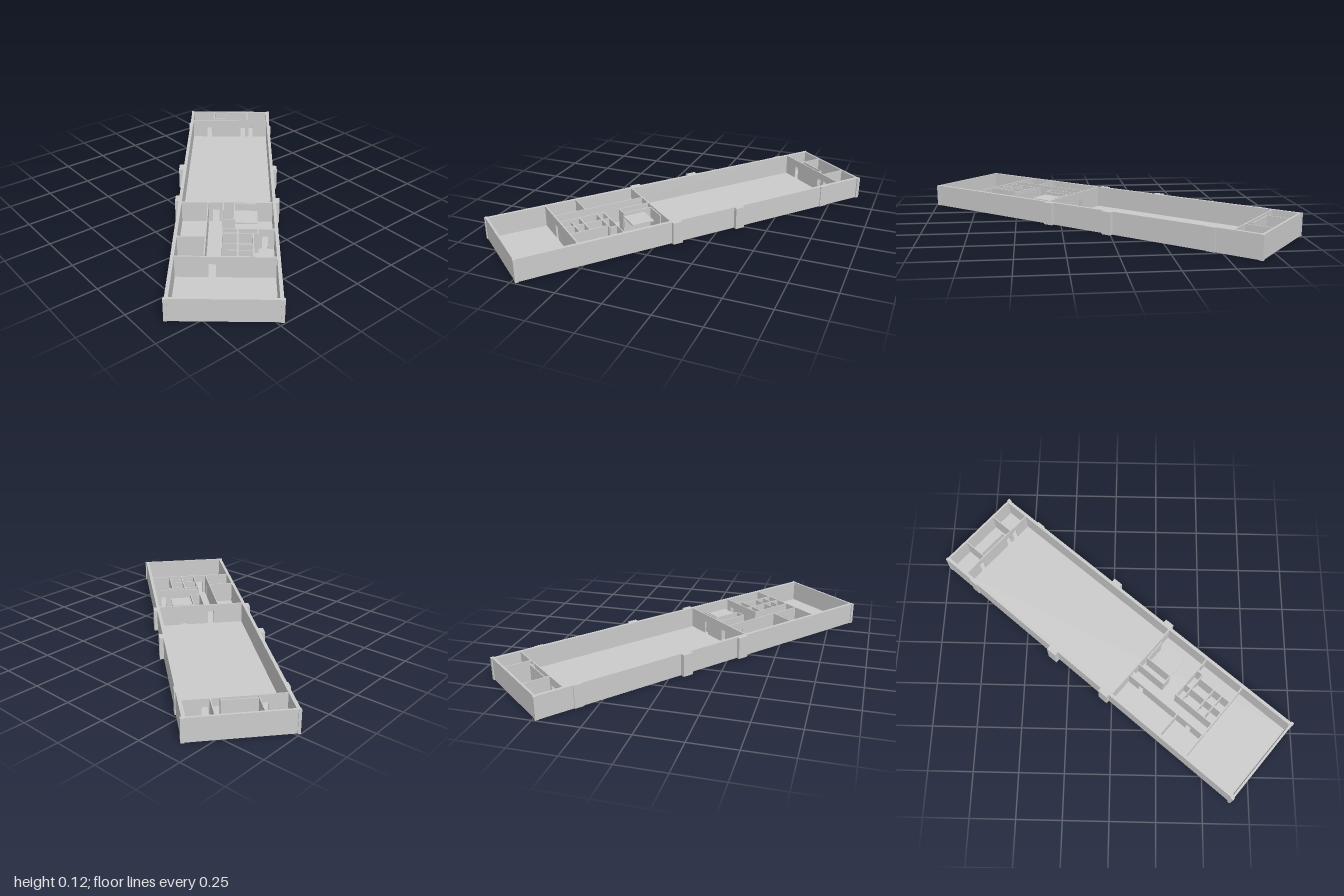
import * as THREE from 'three';

const H = 0.125;      // wall height
const FLOOR = 0.006;  // floor slab thickness
const DOOR = 0.082;   // door head height
const material = new THREE.MeshStandardMaterial({ color: 0xcccccc, flatShading: true });

export function createModel() {
  const model = new THREE.Group();
  model.name = 'building';
  // plan coordinates: u runs along the length, v across the width (local -z)
  const plan = new THREE.Group();
  plan.name = 'floorPlan';
  plan.rotation.y = -0.692;
  model.add(plan);

  function block(name, u0, u1, v0, v1, y0 = 0, y1 = H) {
    const mesh = new THREE.Mesh(new THREE.BoxGeometry(u1 - u0, y1 - y0, v1 - v0), material);
    mesh.name = name;
    mesh.position.set((u0 + u1) / 2, (y0 + y1) / 2, -(v0 + v1) / 2);
    plan.add(mesh);
  }

  // upright wall panel from a to b with door notches [centre, width]
  function wallGeometry(a, b, thickness, doors) {
    const s = new THREE.Shape();
    s.moveTo(a, FLOOR);
    for (const [c, w] of doors) {
      s.lineTo(c - w / 2, FLOOR);
      s.lineTo(c - w / 2, DOOR);
      s.lineTo(c + w / 2, DOOR);
      s.lineTo(c + w / 2, FLOOR);
    }
    s.lineTo(b, FLOOR);
    s.lineTo(b, H);
    s.lineTo(a, H);
    const g = new THREE.ExtrudeGeometry(s, { depth: thickness, bevelEnabled: false });
    return g.translate(0, 0, -thickness / 2);
  }

  // wall along the length, at a fixed v
  function longWall(name, v, u0, u1, doors = [], t = 0.006) {
    const mesh = new THREE.Mesh(wallGeometry(u0, u1, t, doors), material);
    mesh.name = name;
    mesh.position.z = -v;
    plan.add(mesh);
  }

  // wall across the width, at a fixed u
  function crossWall(name, u, v0, v1, doors = [], t = 0.006) {
    const mesh = new THREE.Mesh(wallGeometry(v0, v1, t, doors), material);
    mesh.name = name;
    mesh.rotation.y = Math.PI / 2;
    mesh.position.x = u;
    plan.add(mesh);
  }

  // floor and outer shell
  block('floor', -1.066, 1.06, -0.264, 0.264, 0, FLOOR);
  for (const s of [-1, 1]) {
    const [lo, hi] = s < 0 ? [-0.266, -0.248] : [0.248, 0.266];
    block('outerLongWall', -1.07, 1.064, lo, hi);
  }
  block('outerEndWall', -1.07, -1.058, -0.249, 0.249);
  block('outerEndWall', 1.052, 1.064, -0.249, 0.249);

  // buttresses and shallow pilasters along the long walls
  for (const [u0, u1, side, out] of [
    [-0.24, -0.18, -1, 0.292], [0.14, 0.2, -1, 0.286],
    [-0.235, -0.18, 1, 0.288], [0.155, 0.21, 1, 0.286],
    [-0.87, -0.818, -1, 0.272], [-0.83, -0.78, 1, 0.272],
    [-1.075, -1.055, 1, 0.273], [-1.075, -1.055, -1, 0.269],
    [1.05, 1.068, 1, 0.272], [1.05, 1.068, -1, 0.272],
  ]) {
    const [v0, v1] = side < 0 ? [-out, -0.255] : [0.255, out];
    block('buttress', u0, u1, v0, v1);
  }

  // rooms at the far end of the hall
  crossWall('hallEndWall', -0.915, -0.25, 0.25, [[-0.14, 0.03], [0.088, 0.03], [0.142, 0.03]]);
  longWall('endRoomWall', 0.118, -1.06, -0.915);
  longWall('endRoomWall', -0.107, -1.06, -0.915);
  crossWall('liningWall', -0.94, -0.107, 0.071, [], 0.005);
  longWall('liningReturn', 0.071, -0.94, -0.915, [], 0.005);

  // main cross partitions
  crossWall('hallPartition', 0.208, -0.25, 0.25, [[-0.06, 0.035], [0.103, 0.03]], 0.008);
  crossWall('endHallPartition', 0.731, -0.25, 0.25, [[-0.064, 0.036]], 0.008);

  // side rooms and corridor
  longWall('corridorWall', -0.103, 0.21, 0.73, [[0.3, 0.03], [0.64, 0.03]]);
  crossWall('sideRoomWall', 0.553, -0.25, -0.103);

  // raised platform with its enclosing walls
  longWall('stairRoomWall', -0.02, 0.21, 0.387);
  crossWall('stairRoomWall', 0.387, -0.02, 0.04);
  longWall('stairWall', 0.04, 0.222, 0.387);
  crossWall('stairWall', 0.225, 0.04, 0.163);
  block('platform', 0.265, 0.389, 0.04, 0.163, 0.098, 0.106);

  // small service rooms
  crossWall('serviceWall', 0.479, -0.022, 0.25, [[0.2, 0.03]]);
  crossWall('serviceWall', 0.52, -0.022, 0.163, [[0.02, 0.025], [0.1, 0.025]]);
  crossWall('serviceWall', 0.62, -0.022, 0.137, [[0.02, 0.025], [0.1, 0.025]]);
  crossWall('serviceWall', 0.675, 0.01, 0.137, [[0.095, 0.025]]);
  longWall('serviceWall', -0.022, 0.479, 0.73);
  longWall('serviceWall', 0.059, 0.479, 0.73);
  longWall('serviceWall', 0.137, 0.52, 0.73);
  longWall('serviceWall', 0.163, 0.479, 0.52);

  return model;
}
